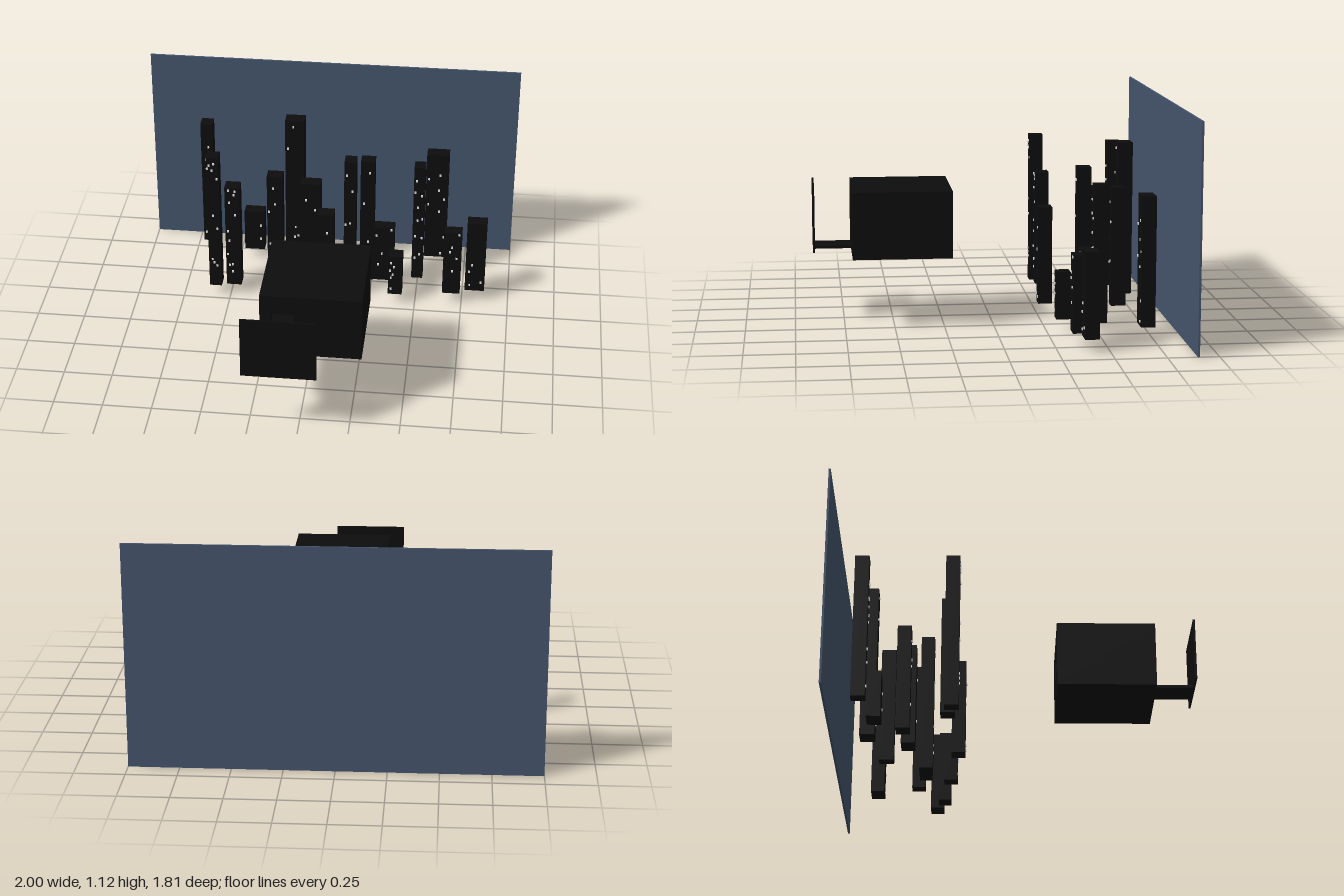
import * as THREE from 'three';

const black = new THREE.MeshStandardMaterial({ color: 0x0d0d0d, name: 'black' });
const nightBlue = new THREE.MeshStandardMaterial({ color: 0x46566e, name: 'nightBlue' });
const litWindow = new THREE.MeshStandardMaterial({ color: 0xffffff, name: 'litWindow' });

// Box given by its limits on each axis
function block(name, x0, x1, y0, y1, z0, z1, material = black) {
  const mesh = new THREE.Mesh(new THREE.BoxGeometry(x1 - x0, y1 - y0, z1 - z0), material);
  mesh.position.set((x0 + x1) / 2, (y0 + y1) / 2, (z0 + z1) / 2);
  mesh.name = name;
  return mesh;
}

// Tower with small lit windows on its front; lights are [x, y] pairs
function tower(x0, x1, z0, z1, top, lights) {
  const group = new THREE.Group();
  group.name = 'tower';
  group.add(block('towerBody', x0, x1, 0.065, top, z0, z1));
  for (const [x, y] of lights) {
    group.add(block('towerWindow', x - 0.005, x + 0.005, y - 0.006, y + 0.006, z1 - 0.002, z1 + 0.005, litWindow));
  }
  return group;
}

// Upright wall with one rectangular opening
function wallWithOpening(name, x0, x1, y0, y1, z, [hx0, hx1, hy0, hy1]) {
  const rect = (P, a, b, c, d) => new P([[a, c], [b, c], [b, d], [a, d]].map(p => new THREE.Vector2(...p)));
  const shape = rect(THREE.Shape, x0, x1, y0, y1);
  shape.holes.push(rect(THREE.Path, hx0, hx1, hy0, hy1));
  const mesh = new THREE.Mesh(new THREE.ExtrudeGeometry(shape, { depth: 0.01, bevelEnabled: false }), black);
  mesh.position.z = z;
  mesh.name = name;
  return mesh;
}

export function createModel() {
  const model = new THREE.Group();
  model.name = 'roomAboveCity';

  // Night sky
  model.add(block('skyBackdrop', -1, 1, 0, 1.125, -0.905, -0.895, nightBlue));

  // City, left to right
  const city = new THREE.Group();
  city.name = 'city';
  city.add(
    tower(-0.71, -0.645, -0.785, -0.715, 0.81, [[-0.67, 0.67], [-0.685, 0.59], [-0.66, 0.595], [-0.67, 0.55],
      [-0.655, 0.51], [-0.665, 0.47], [-0.68, 0.32], [-0.68, 0.25], [-0.695, 0.12]]),
    tower(-0.61, -0.545, -0.345, -0.275, 0.865, [[-0.595, 0.82], [-0.57, 0.83], [-0.58, 0.79], [-0.605, 0.8],
      [-0.555, 0.74], [-0.58, 0.51], [-0.56, 0.43], [-0.59, 0.235], [-0.58, 0.215], [-0.565, 0.195]]),
    tower(-0.52, -0.44, -0.365, -0.295, 0.675, [[-0.5, 0.66], [-0.465, 0.655], [-0.495, 0.585], [-0.47, 0.635],
      [-0.465, 0.51], [-0.505, 0.405], [-0.5, 0.345], [-0.51, 0.26], [-0.485, 0.195], [-0.5, 0.19], [-0.485, 0.15]]),
    tower(-0.47, -0.36, -0.725, -0.655, 0.305, [[-0.38, 0.22], [-0.38, 0.135]]),
    tower(-0.325, -0.24, -0.59, -0.52, 0.62, [[-0.29, 0.55], [-0.315, 0.4], [-0.31, 0.195], [-0.28, 0.45]]),
    tower(-0.245, -0.14, -0.77, -0.695, 0.87, [[-0.2, 0.835], [-0.23, 0.7], [-0.19, 0.2], [-0.175, 0.145],
      [-0.195, 0.135], [-0.15, 0.175]]),
    tower(-0.14, -0.03, -0.57, -0.5, 0.6, [[-0.11, 0.5], [-0.06, 0.44], [-0.045, 0.22]]),
    tower(-0.02, 0.065, -0.32, -0.25, 0.57, [[0.005, 0.11], [0.05, 0.1], [0.02, 0.345], [0.03, 0.46]]),
    tower(0.085, 0.15, -0.69, -0.615, 0.68, [[0.095, 0.285], [0.12, 0.295], [0.13, 0.5], [0.1, 0.6]]),
    tower(0.19, 0.265, -0.49, -0.42, 0.805, [[0.24, 0.74], [0.23, 0.16], [0.235, 0.31], [0.21, 0.55]]),
    tower(0.265, 0.375, -0.49, -0.425, 0.4, [[0.28, 0.35], [0.31, 0.235], [0.29, 0.165], [0.36, 0.39]]),
    tower(0.355, 0.43, -0.365, -0.295, 0.305, [[0.37, 0.265], [0.385, 0.24], [0.365, 0.215], [0.38, 0.19],
      [0.37, 0.17], [0.37, 0.1]]),
    tower(0.47, 0.53, -0.535, -0.465, 0.76, [[0.485, 0.68], [0.48, 0.61], [0.515, 0.59], [0.495, 0.515],
      [0.52, 0.445], [0.495, 0.435], [0.485, 0.335], [0.52, 0.325], [0.51, 0.22], [0.485, 0.195]]),
    tower(0.525, 0.645, -0.755, -0.685, 0.715, [[0.6, 0.59], [0.54, 0.565], [0.595, 0.495], [0.625, 0.44],
      [0.54, 0.405], [0.6, 0.36], [0.63, 0.195], [0.615, 0.09]]),
    tower(0.645, 0.74, -0.4, -0.335, 0.45, [[0.725, 0.44], [0.69, 0.36], [0.68, 0.33], [0.715, 0.29], [0.695, 0.21]]),
    tower(0.765, 0.87, -0.445, -0.375, 0.49, [[0.8, 0.23], [0.785, 0.185], [0.79, 0.1], [0.85, 0.12]]),
  );
  model.add(city);

  // Hollow room with a window facing the city and a doorway at the front
  const room = new THREE.Group();
  room.name = 'room';
  room.add(
    block('roomFloor', -0.2, 0.3, 0.36, 0.37, 0.21, 0.71),
    block('roomCeiling', -0.2, 0.3, 0.69, 0.7, 0.21, 0.71),
    block('roomRightWall', -0.2, -0.19, 0.37, 0.69, 0.21, 0.71),
    block('roomLeftWall', 0.29, 0.3, 0.37, 0.69, 0.21, 0.71),
    wallWithOpening('windowWall', -0.19, 0.29, 0.37, 0.69, 0.21, [-0.06, 0.075, 0.49, 0.605]),
    wallWithOpening('doorWall', -0.19, 0.29, 0.37, 0.69, 0.7, [-0.14, -0.03, 0.372, 0.6]),
    block('windowMullion', 0, 0.012, 0.49, 0.605, 0.211, 0.219),
    block('windowPane', 0.02, 0.07, 0.5, 0.555, 0.213, 0.217, nightBlue),
  );
  model.add(room);

  // Hallway floor and its end wall
  model.add(block('hallFloor', -0.16, -0.01, 0.362, 0.376, 0.71, 0.9));
  model.add(block('hallEndWall', -0.27, 0.1, 0.362, 0.69, 0.895, 0.905));
  return model;
}
